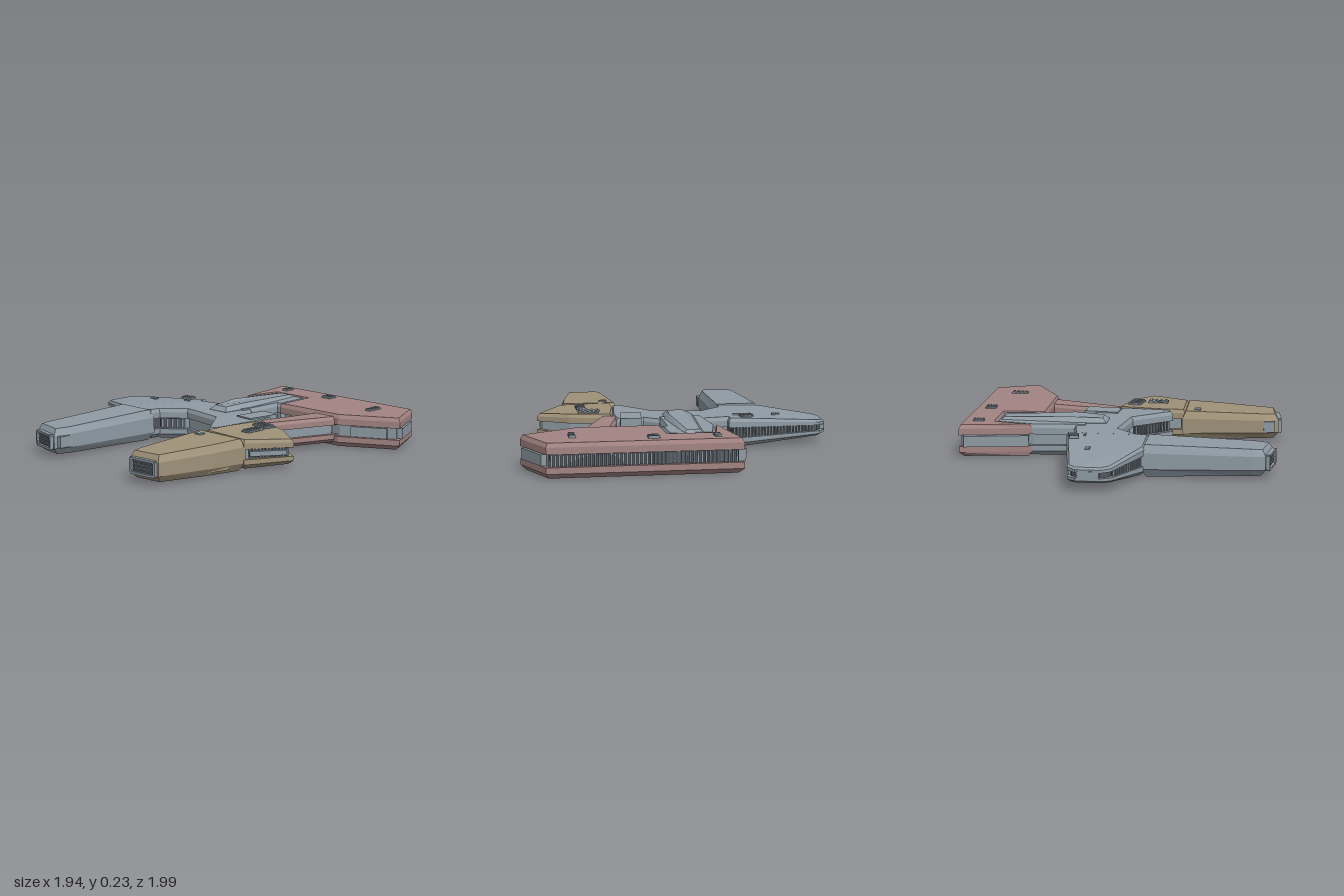
import * as THREE from 'three';

const paint = (name, color) => Object.assign(new THREE.MeshStandardMaterial({ color }), { name });
const GREY = paint('hull grey', 0x8f9ba4);
const RED = paint('faded red', 0xa38583);
const TAN = paint('sand tan', 0x9f9279);
const DARK = paint('vent dark', 0x50575d);

// Ring profiles: [inset, height fraction, uses band colour up to the next ring]
const GROOVED = [[0.025, 0], [0, 0.14], [0, 0.32], [0.025, 0.32, true], [0.025, 0.68], [0, 0.68], [0, 0.88], [0.012, 1]];
const BEVELLED = [[0.03, 0], [0, 0.25], [0, 0.75], [0.022, 1]];

const orient = pts => {
  const v = pts.map(p => new THREE.Vector2(...p));
  return THREE.ShapeUtils.area(v) < 0 ? v.reverse() : v;
};

// Moves every side of an outline inward by d
const inset = (pts, d) => pts.map((p, i) => {
  const a = pts.at(i - 1), b = pts[(i + 1) % pts.length];
  const e = p.clone().sub(a).normalize(), f = b.clone().sub(p).normalize();
  const n = new THREE.Vector2(-e.y, e.x), m = new THREE.Vector2(-f.y, f.x);
  const k = d / Math.max(0.4, 1 + n.dot(m));
  return p.clone().add(n.add(m).multiplyScalar(k));
});

// Closed hull from a plan outline (x, z) and a rule giving bottom and top height
function hull(name, outline, heights, profile, main, band = main) {
  const base = orient(outline), n = base.length;
  const rings = profile.map(([d, t]) => inset(base, d).map(p => {
    const [lo, hi] = heights(p.x, p.y);
    return [p.x, lo + (hi - lo) * t, p.y];
  }));
  const pos = [], geo = new THREE.BufferGeometry();
  for (let r = 0; r < rings.length - 1; r++) {
    const start = pos.length / 3;
    for (let i = 0; i < n; i++) {
      const j = (i + 1) % n, [lo, hi] = [rings[r], rings[r + 1]];
      for (const v of [lo[i], hi[i], hi[j], lo[i], hi[j], lo[j]]) pos.push(...v);
    }
    geo.addGroup(start, n * 6, profile[r][2] ? 1 : 0);
  }
  const start = pos.length / 3;
  for (const [ring, down] of [[rings[0], true], [rings.at(-1), false]]) {
    const flat = ring.map(v => new THREE.Vector2(v[0], v[2]));
    for (const t of THREE.ShapeUtils.triangulateShape(flat, [])) {
      const facesDown = THREE.ShapeUtils.area(t.map(i => flat[i])) > 0;
      for (const i of facesDown === down ? t : [...t].reverse()) pos.push(...ring[i]);
    }
  }
  geo.addGroup(start, pos.length / 3 - start, 0);
  geo.setAttribute('position', new THREE.Float32BufferAttribute(pos, 3));
  geo.computeVertexNormals();
  const mesh = new THREE.Mesh(geo, [main, band]);
  mesh.name = name;
  return mesh;
}

function box(name, mat, w, h, d, x, y, z, ry = 0) {
  const m = new THREE.Mesh(new THREE.BoxGeometry(w, h, d), mat);
  m.name = name;
  m.position.set(x, y, z);
  m.rotation.y = ry;
  return m;
}

// Group lying along a plan edge: local x runs a to b, local -z points outward
function alongEdge(name, a, b, y) {
  const g = new THREE.Group(), dx = b[0] - a[0], dz = b[1] - a[1];
  g.name = name;
  g.position.set((a[0] + b[0]) / 2, y, (a[1] + b[1]) / 2);
  g.rotation.y = -Math.atan2(dz, dx);
  g.userData.length = Math.hypot(dx, dz);
  return g;
}

// Row of upright fins in front of a dark strip; height runs from h0 to h1
function vent(name, a, b, y, h0, h1, count, fin = GREY, depth = 0.018) {
  const g = alongEdge(name, a, b, y), L = g.userData.length;
  g.add(box('ventBack', DARK, L, Math.min(h0, h1), 0.008, 0, 0, depth + 0.003));
  for (let i = 0; i < count; i++) {
    const t = (i + 0.5) / count;
    g.add(box('fin', fin, L / count * 0.45, h0 + (h1 - h0) * t, 0.014, (t - 0.5) * L, 0, depth - 0.006));
  }
  return g;
}

function edgeBlock(name, a, b, y, h, depth, out, mat = GREY) {
  const g = alongEdge(name, a, b, y);
  g.add(box(name + 'Body', mat, g.userData.length, h, depth, 0, 0, depth / 2 - out));
  return g;
}

// Framed intake on the front end of an arm
function intake(name, a, b, y, h) {
  const g = alongEdge(name, a, b, y), L = g.userData.length;
  g.add(box('intakeBack', DARK, L, h, 0.008, 0, 0, 0));
  for (const s of [-1, 1]) {
    g.add(box('intakeRail', GREY, L, 0.014, 0.03, 0, s * h / 2, -0.004));
    g.add(box('intakePost', GREY, 0.016, h, 0.03, s * L / 2, 0, -0.004));
  }
  for (let i = 1; i < 4; i++) g.add(box('intakeSlat', GREY, L, 0.005, 0.012, 0, (i / 4 - 0.5) * h, -0.004));
  return g;
}

// Small raised hatch with cross ribs
function hatch(x, y, z, w, d, ry = 0) {
  const g = new THREE.Group();
  g.name = 'deckHatch';
  g.position.set(x, y, z);
  g.rotation.y = ry;
  g.add(box('hatchPlate', GREY, w, 0.009, d, 0, 0, 0));
  const along = w > d, L = Math.max(w, d);
  for (let i = 0; i < 4 && L > 0.06; i++) {
    const o = (i - 1.5) / 4 * L;
    g.add(box('hatchRib', GREY, along ? L / 9 : w * 0.9, 0.009, along ? d * 0.9 : L / 9, along ? o : 0, 0.007, along ? 0 : o));
  }
  return g;
}

export function createModel() {
  const ship = new THREE.Group();
  ship.name = 'ship';
  const level = (lo, hi) => () => [lo, hi];
  const taper = (v, a, b) => THREE.MathUtils.clamp((v - a) / (b - a), 0, 1);

  // Central body, neck and ridge
  ship.add(hull('centreBody', [[-0.36, -0.245], [-0.17, -0.28], [0.1, -0.28], [0.19, -0.2], [0.36, -0.2], [0.37, -0.06],
    [0.34, 0.28], [0.29, 0.3], [0.1, 0.06], [-0.2, 0.01], [-0.36, 0.16]], level(0.01, 0.205), GROOVED, GREY));
  ship.add(hull('neck', [[-0.15, -0.78], [0.115, -0.78], [0.13, -0.52], [0.1, -0.52], [0.1, -0.2], [-0.17, -0.2], [-0.2, -0.54]],
    level(0.012, 0.212), GROOVED, GREY));
  ship.add(hull('neckRidge', [[-0.1, -0.77], [0.03, -0.77], [0.075, -0.3], [0.055, -0.085], [-0.09, -0.085], [-0.12, -0.3]],
    (x, z) => [0.2, 0.243 - 0.02 * taper(z, -0.64, -0.76) - 0.01 * taper(z, -0.3, -0.09)], [[0, 0], [0, 0.2], [0.028, 1]], GREY));
  ship.add(box('raisedDeck', GREY, 0.13, 0.1, 0.22, 0.265, 0.163, -0.155, -0.1));
  ship.add(vent('bodyVent', [0.28, 0.285], [0.11, 0.075], 0.108, 0.06, 0.06, 12));
  ship.add(vent('bodySideVent', [-0.21, 0.02], [-0.33, 0.13], 0.108, 0.06, 0.06, 5));

  // Right wing and forward arm
  const wingY = x => {
    const t = taper(x, -0.55, -0.97);
    return [0.015 + 0.05 * t, 0.205 - 0.05 * t];
  };
  ship.add(hull('rightWing', [[-0.97, -0.15], [-0.93, -0.2], [-0.33, -0.3], [-0.33, 0.21], [-0.61, 0.21], [-0.935, 0.055], [-0.97, 0]],
    wingY, GROOVED, GREY, DARK));
  ship.add(vent('wingRearVent', [-0.9, -0.203], [-0.36, -0.292], 0.11, 0.034, 0.066, 26));
  ship.add(vent('wingFrontVent', [-0.63, 0.2], [-0.9, 0.072], 0.11, 0.064, 0.036, 14));
  ship.add(edgeBlock('wingTip', [-0.97, -0.01], [-0.97, -0.14], 0.11, 0.05, 0.03, 0.003));
  const armY = (x, z) => {
    const t = taper(z, 0.3, 0.98);
    return [0.01 + 0.02 * t, 0.208 - 0.02 * t];
  };
  ship.add(hull('rightArm', [[-0.62, 0.19], [-0.32, 0.19], [-0.335, 0.86], [-0.365, 0.965], [-0.575, 0.925], [-0.59, 0.85]],
    armY, BEVELLED, GREY));
  ship.add(intake('rightArmIntake', [-0.385, 0.965], [-0.555, 0.933], 0.108, 0.085));
  ship.add(edgeBlock('rightArmSidePod', [-0.34, 0.87], [-0.34, 0.945], 0.11, 0.07, 0.03, 0.01));

  // Sand coloured shoulder and arm
  const shoulderY = x => {
    const t = taper(x, 0.55, 0.83);
    return [0.012 + 0.03 * t, 0.208 - 0.018 * t];
  };
  ship.add(hull('leftShoulder', [[0.375, -0.07], [0.64, 0], [0.83, 0.12], [0.67, 0.375], [0.335, 0.375], [0.335, 0.2]],
    shoulderY, GROOVED, TAN, GREY));
  ship.add(vent('shoulderVent', [0.815, 0.145], [0.685, 0.35], 0.115, 0.05, 0.055, 12));
  ship.add(edgeBlock('shoulderPod', [0.81, 0.16], [0.69, 0.345], 0.115, 0.03, 0.02, 0.002));
  ship.add(hull('leftArm', [[0.29, 0.36], [0.67, 0.36], [0.645, 0.6], [0.58, 0.965], [0.36, 0.985], [0.335, 0.9]],
    armY, BEVELLED, TAN));
  ship.add(intake('leftArmIntake', [0.56, 0.968], [0.38, 0.984], 0.108, 0.085));
  ship.add(edgeBlock('leftArmSidePod', [0.34, 0.96], [0.335, 0.89], 0.11, 0.07, 0.03, 0.008));
  ship.add(edgeBlock('leftArmLowerPod', [0.645, 0.48], [0.62, 0.62], 0.05, 0.025, 0.03, 0.008, TAN));

  // Red rear section and strut
  ship.add(hull('rearSection', [[-0.29, -0.99], [0.84, -0.99], [0.97, -0.7], [0.63, -0.51], [0.13, -0.51], [0.12, -0.78],
    [-0.15, -0.78], [-0.205, -0.54]], level(0.01, 0.215), GROOVED, RED, GREY));
  ship.add(vent('rearVent', [-0.26, -0.99], [0.82, -0.99], 0.112, 0.068, 0.068, 48));
  ship.add(edgeBlock('rearRightPod', [-0.215, -0.56], [-0.285, -0.96], 0.112, 0.07, 0.05, 0.02));
  ship.add(edgeBlock('rearLeftPod', [0.855, -0.95], [0.955, -0.73], 0.112, 0.066, 0.04, 0.012));
  ship.add(edgeBlock('rearFrontPod', [0.9, -0.66], [0.7, -0.55], 0.112, 0.066, 0.03, 0.0));
  ship.add(hull('strut', [[0.435, -0.54], [0.61, -0.54], [0.435, -0.05], [0.33, -0.07]], level(0.03, 0.198), GROOVED, RED, GREY));

  // Deck hatches: x, y, z, width, depth, turn
  for (const h of [[-0.15, 0.218, -0.89, 0.04, 0.07], [0.22, 0.218, -0.89, 0.07, 0.07], [0.68, 0.218, -0.79, 0.04, 0.11],
    [0.51, 0.211, 0.04, 0.13, 0.08, -0.2], [0.55, 0.211, 0.18, 0.06, 0.13], [0.38, 0.206, 0.455, 0.05, 0.04],
    [-0.45, 0.208, -0.235, 0.08, 0.06, 0.16], [-0.4, 0.208, -0.175, 0.05, 0.01], [-0.66, 0.194, -0.12, 0.05, 0.03]]) ship.add(hatch(...h));

  return ship;
}
